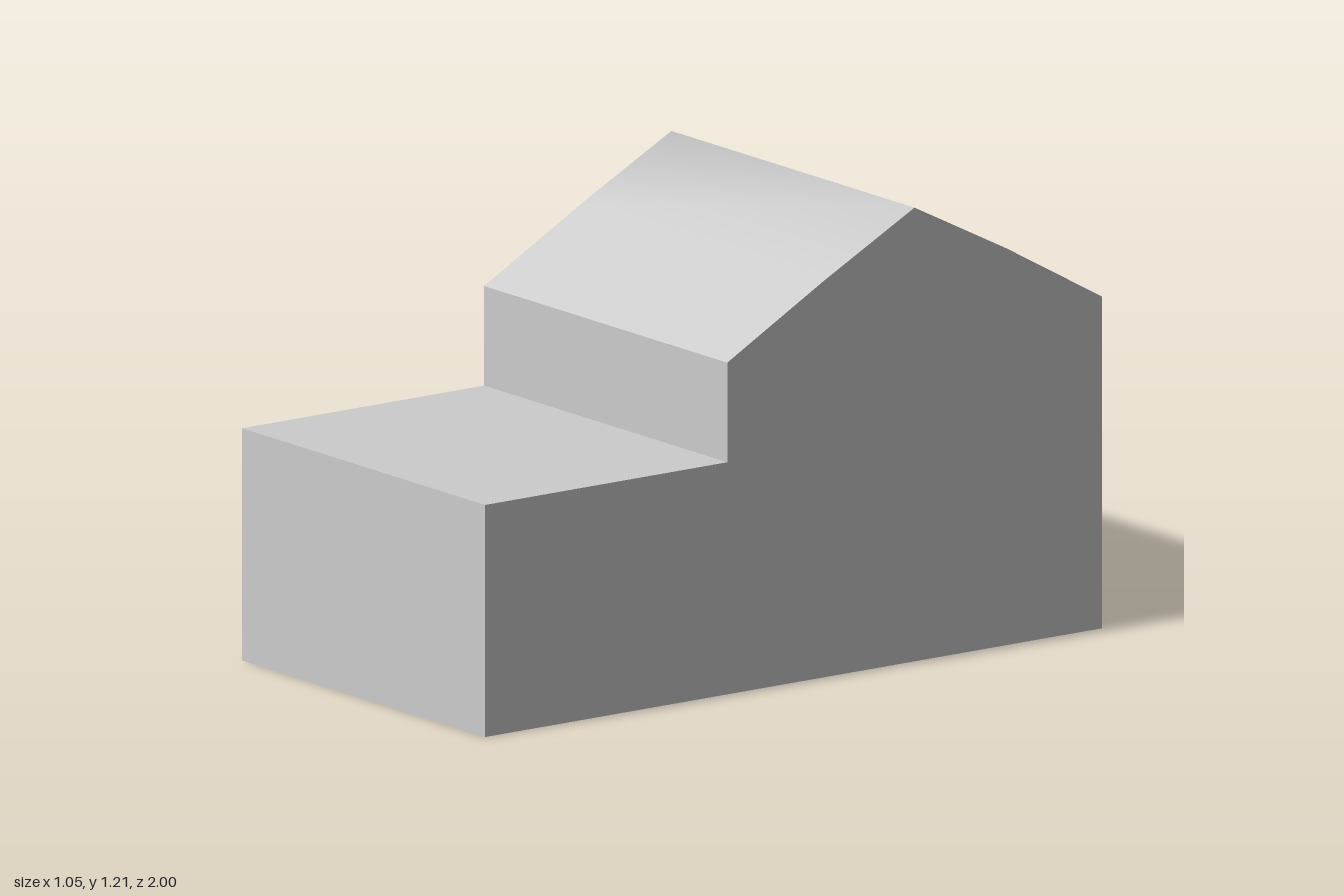
import * as THREE from 'three';
import { toCreasedNormals } from 'three/addons/utils/BufferGeometryUtils.js';

const WIDTH = 1.054;

// Side profile as [z, y]: low front block, step, then a slightly bowed gable roof
const PROFILE = [
  [-1, 0], [1, 0],
  [1, 0.62], [0.215, 0.62],          // front block and its flat top
  [0.215, 0.886],                    // front eave
  [-0.1, 1.06], [-0.392, 1.212], [-0.69, 1.06], // roof up to the ridge and down
  [-1, 0.886],                       // back eave
];

export function createModel() {
  const group = new THREE.Group();
  group.name = 'steppedHouse';

  const shape = new THREE.Shape(PROFILE.map(([z, y]) => new THREE.Vector2(z, y)));
  let geometry = new THREE.ExtrudeGeometry(shape, { depth: WIDTH, bevelEnabled: false });
  geometry.translate(0, 0, -WIDTH / 2);
  geometry.rotateY(-Math.PI / 2); // extrude across x, profile runs along z

  // Smooth across the ridge, sharp at the eaves, step and walls
  geometry = toCreasedNormals(geometry, THREE.MathUtils.degToRad(58));

  const body = new THREE.Mesh(geometry, new THREE.MeshStandardMaterial({ color: 0xcccccc }));
  body.name = 'houseBody';
  group.add(body);
  return group;
}
